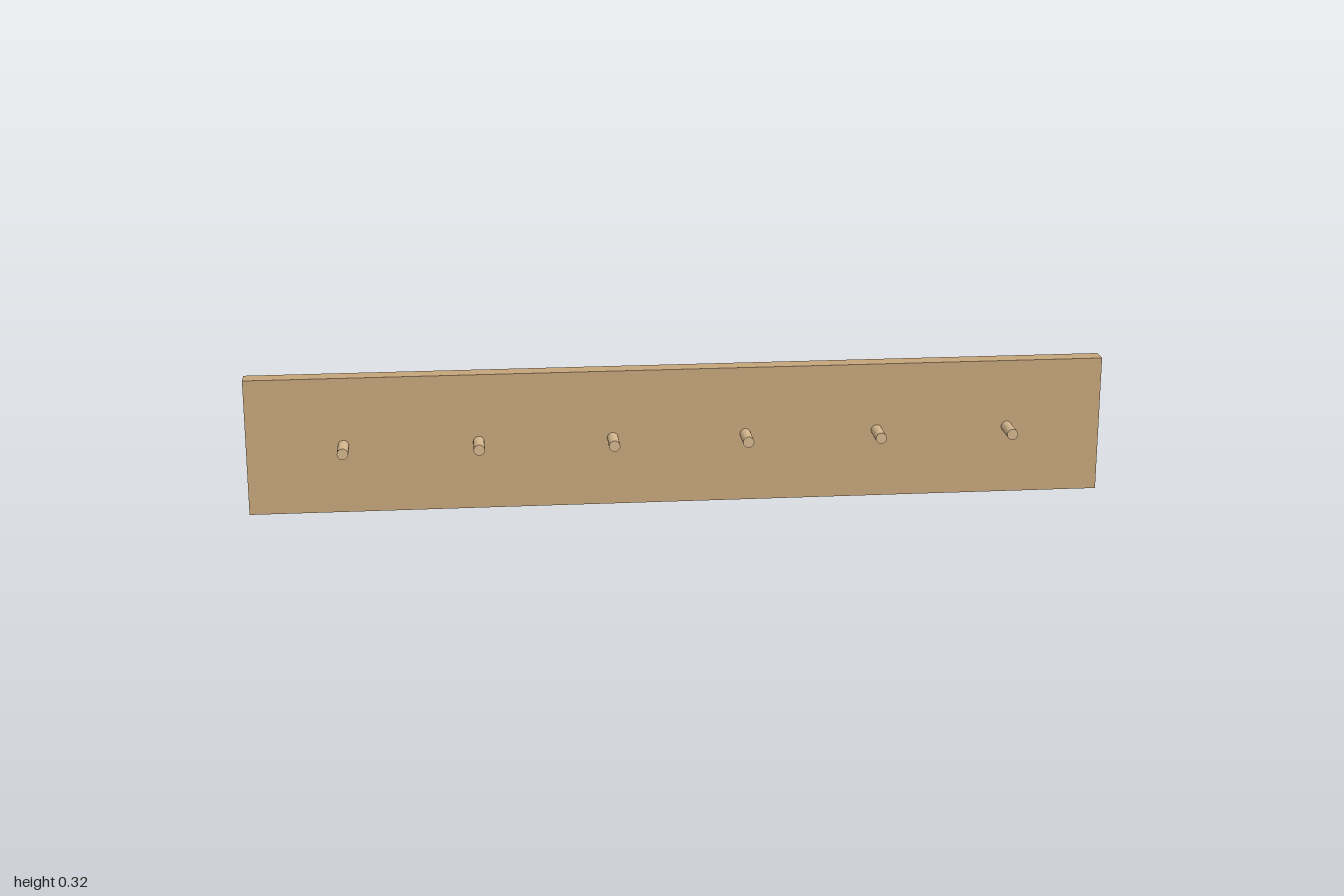
import * as THREE from 'three';

const WIDTH = 2, HEIGHT = 0.323;
const BACK = -0.054, BOARD_FRONT = -0.011, PEG_FRONT = 0.055;
const PEG_RADIUS = 0.013, PEG_COUNT = 6, PEG_SPACING = 0.311;

export function createModel() {
  const group = new THREE.Group();
  group.name = 'pegRail';
  const boardMaterial = new THREE.MeshStandardMaterial({ color: 0xc4a47a });
  const pegMaterial = new THREE.MeshStandardMaterial({ color: 0xd2b48c });
  const pegX = Array.from({ length: PEG_COUNT }, (_, i) => (i - (PEG_COUNT - 1) / 2) * PEG_SPACING);

  // Backboard, drilled through for the pegs
  const outline = new THREE.Shape();
  outline.moveTo(-WIDTH / 2, 0);
  outline.lineTo(WIDTH / 2, 0);
  outline.lineTo(WIDTH / 2, HEIGHT);
  outline.lineTo(-WIDTH / 2, HEIGHT);
  outline.closePath();
  for (const x of pegX) {
    outline.holes.push(new THREE.Path().absarc(x, HEIGHT / 2, PEG_RADIUS, 0, Math.PI * 2, true));
  }
  const boardGeometry = new THREE.ExtrudeGeometry(outline, {
    depth: BOARD_FRONT - BACK, bevelEnabled: false, curveSegments: 12,
  });
  const board = new THREE.Mesh(boardGeometry, boardMaterial);
  board.name = 'backboard';
  board.position.z = BACK;
  group.add(board);

  // Round pegs, flush with the back of the board
  const pegGeometry = new THREE.CylinderGeometry(PEG_RADIUS, PEG_RADIUS, PEG_FRONT - BACK, 24);
  pegGeometry.rotateX(Math.PI / 2);
  pegX.forEach((x, i) => {
    const peg = new THREE.Mesh(pegGeometry, pegMaterial);
    peg.name = `peg${i + 1}`;
    peg.position.set(x, HEIGHT / 2, (PEG_FRONT + BACK) / 2);
    group.add(peg);
  });

  return group;
}
